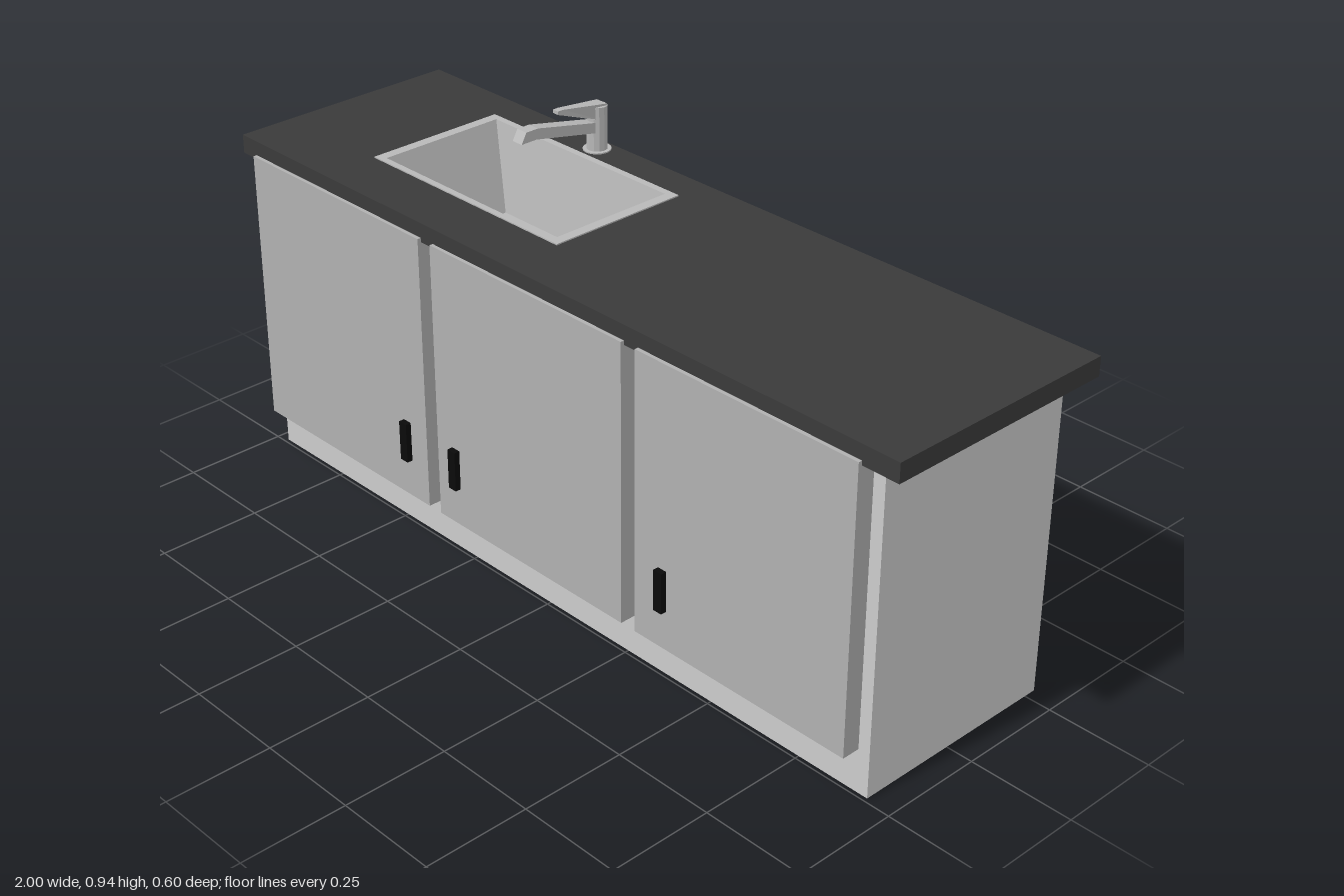
import * as THREE from 'three';

const paint = (color, side = THREE.FrontSide) =>
  new THREE.MeshStandardMaterial({ color, side, flatShading: true });

export function createModel() {
  const model = new THREE.Group();
  const grey = paint(0xcccccc);
  const doorGrey = paint(0xb0b0b0);
  const steel = paint(0xb8b8b8, THREE.DoubleSide);
  const stone = paint(0x3a3a3a);
  const black = paint(0x0a0a0a);

  const add = (name, geometry, material) => {
    const mesh = new THREE.Mesh(geometry, material);
    mesh.name = name;
    model.add(mesh);
    return mesh;
  };
  // Box given by its limits on each axis
  const box = (name, x0, x1, y0, y1, z0, z1, material) => {
    const g = new THREE.BoxGeometry(x1 - x0, y1 - y0, z1 - z0);
    g.translate((x0 + x1) / 2, (y0 + y1) / 2, (z0 + z1) / 2);
    return add(name, g, material);
  };
  // Side profile of [z, y] points, extruded across x
  const profile = (name, points, x, width, material) => {
    const shape = new THREE.Shape(points.map(p => new THREE.Vector2(...p)));
    const g = new THREE.ExtrudeGeometry(shape, { depth: width, bevelEnabled: false });
    g.translate(0, 0, -width / 2);
    g.rotateY(-Math.PI / 2);
    g.translate(x, 0, 0);
    return add(name, g, material);
  };

  // Cabinet body, left open on top so the basin can hang inside
  const body = box('cabinetBody', -0.97, 0.935, 0, 0.772, -0.28, 0.24, grey);
  const index = Array.from(body.geometry.index.array);
  index.splice(12, 6);
  body.geometry.setIndex(index);
  body.geometry.clearGroups();

  // Thin panels behind the doors
  box('backingPanel', -0.93, 0.28, 0.207, 0.768, 0.239, 0.246, grey);
  box('backingPanel', 0.33, 0.905, 0.207, 0.768, 0.239, 0.246, grey);

  // Doors with their handles
  for (const [x0, x1, handleX] of [
    [-0.95, -0.355, -0.423], [-0.315, 0.28, -0.253], [0.32, 0.91, 0.402],
  ]) {
    box('door', x0, x1, 0.11, 0.78, 0.245, 0.289, doorGrey);
    box('handle', handleX - 0.012, handleX + 0.012, 0.205, 0.303, 0.288, 0.303, black);
  }

  // Countertop with a cut-out for the sink
  const top = new THREE.Shape();
  top.moveTo(-1, -0.28).lineTo(1, -0.28).lineTo(1, 0.3).lineTo(-1, 0.3).closePath();
  const hole = new THREE.Path();
  hole.moveTo(-0.68, -0.13).lineTo(-0.68, 0.205).lineTo(-0.085, 0.205).lineTo(-0.085, -0.13).closePath();
  top.holes.push(hole);
  const topGeometry = new THREE.ExtrudeGeometry(top, { depth: 0.045, bevelEnabled: false });
  topGeometry.rotateX(-Math.PI / 2).translate(0, 0.77, 0);
  add('countertop', topGeometry, stone);

  // Sink: rectangular rings from the rim down the sloped walls to the floor
  const rings = [
    [-0.69, -0.075, -0.215, 0.14, 0.814],
    [-0.69, -0.075, -0.215, 0.14, 0.818],
    [-0.665, -0.1, -0.198, 0.125, 0.818],
    [-0.595, -0.175, -0.16, 0.085, 0.615],
  ];
  const positions = [];
  for (const [x0, x1, z0, z1, y] of rings) {
    positions.push(x0, y, z0, x0, y, z1, x1, y, z1, x1, y, z0);
  }
  const faces = [];
  for (let r = 0; r < rings.length - 1; r++) {
    for (let i = 0; i < 4; i++) {
      const a = r * 4 + i, b = r * 4 + (i + 1) % 4;
      faces.push(a, b, b + 4, a, b + 4, a + 4);
    }
  }
  const f = (rings.length - 1) * 4;
  faces.push(f, f + 1, f + 2, f, f + 2, f + 3);
  const indexed = new THREE.BufferGeometry();
  indexed.setAttribute('position', new THREE.Float32BufferAttribute(positions, 3));
  indexed.setIndex(faces);
  const sink = indexed.toNonIndexed();
  sink.computeVertexNormals();
  add('sinkBasin', sink, steel);

  add('drain', new THREE.CylinderGeometry(0.045, 0.045, 0.01, 8)
    .translate(-0.385, 0.62, -0.035), black);

  // Faucet: base ring, column with a slanted top, spout and lever
  const fx = -0.385, fz = -0.259;
  add('faucetBase', new THREE.CylinderGeometry(0.033, 0.033, 0.004, 16)
    .translate(fx, 0.816, fz), steel);
  const column = new THREE.CylinderGeometry(0.0245, 0.0245, 0.108, 12).translate(fx, 0.869, fz);
  const p = column.attributes.position;
  for (let i = 0; i < p.count; i++) {
    if (p.getY(i) > 0.9) p.setY(i, 0.925 + (p.getZ(i) - fz - 0.0245) * 0.07);
  }
  add('faucetColumn', column, steel);
  profile('spout', [
    [-0.25, 0.861], [-0.065, 0.9], [-0.022, 0.9], [-0.036, 0.925], [-0.07, 0.925], [-0.25, 0.886],
  ], fx, 0.03, steel);
  const lever = profile('lever', [
    [-0.26, 0.89], [-0.235, 0.899], [-0.135, 0.936], [-0.135, 0.944], [-0.15, 0.944], [-0.275, 0.926],
  ], fx, 0.034, steel);
  // Taper the lever towards its tip
  const q = lever.geometry.attributes.position;
  for (let i = 0; i < q.count; i++) {
    if (q.getZ(i) > -0.2) q.setX(i, fx + (q.getX(i) - fx) * 0.5);
  }
  lever.geometry.computeVertexNormals();

  return model;
}
